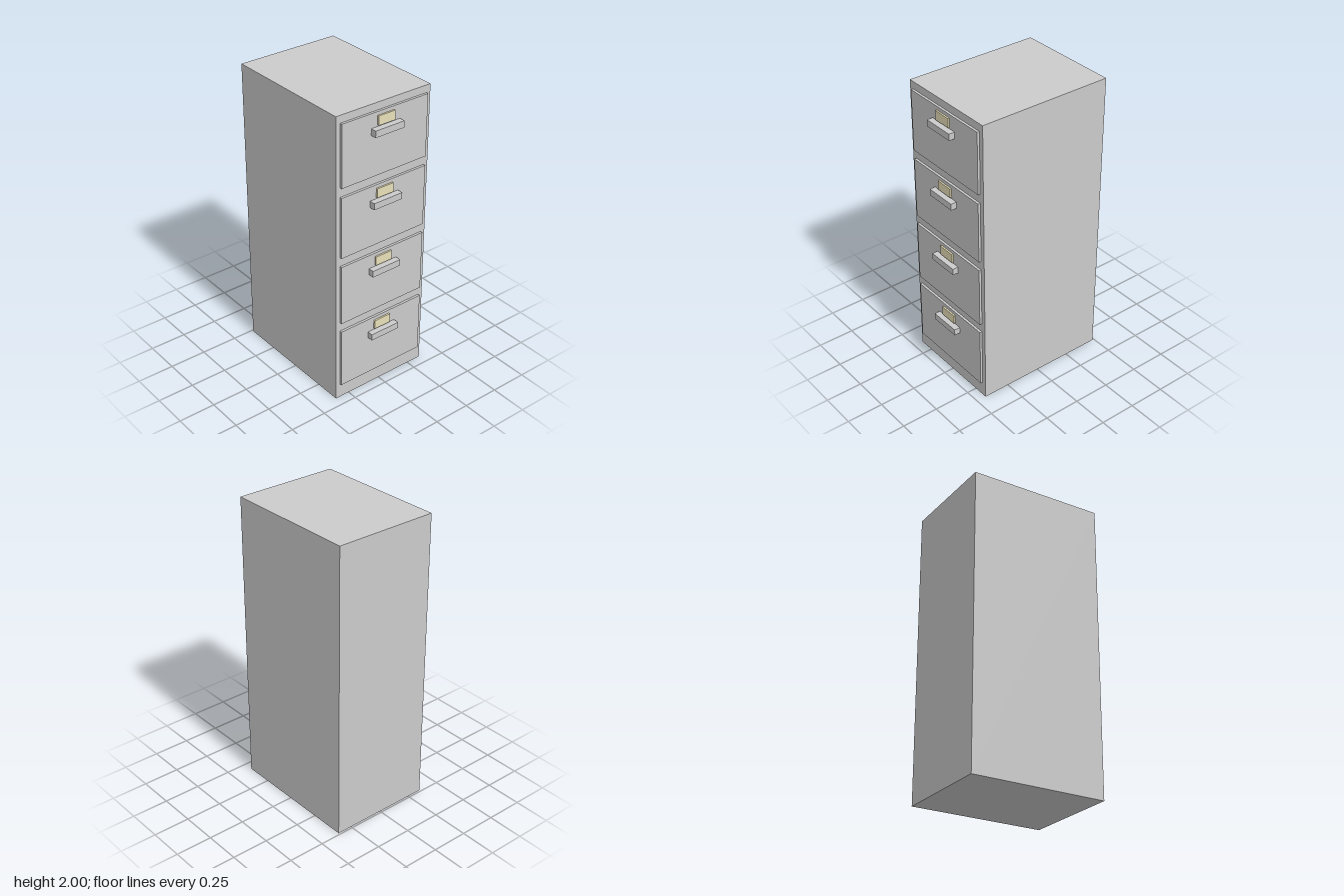
import * as THREE from 'three';

const grey = new THREE.MeshStandardMaterial({ color: 0xcccccc });
const cream = new THREE.MeshStandardMaterial({ color: 0xe8e0b8 });

// Box given by its width, its y range and its z range, centred on x = 0
function box(name, width, y0, y1, z0, z1, material = grey) {
  const mesh = new THREE.Mesh(new THREE.BoxGeometry(width, y1 - y0, z1 - z0), material);
  mesh.position.set(0, (y0 + y1) / 2, (z0 + z1) / 2);
  mesh.name = name;
  return mesh;
}

export function createModel() {
  const cabinet = new THREE.Group();
  cabinet.name = 'filingCabinet';

  const front = 0.432; // front of the body
  const face = 0.448; // front of the drawers
  cabinet.add(box('body', 0.706, 0, 2, -0.488, front));

  // Four equal drawers, each with a label plate above a bar handle
  for (let i = 0; i < 4; i++) {
    const drawer = new THREE.Group();
    drawer.name = `drawer${i + 1}`;
    drawer.position.y = 0.103 + i * 0.4775;
    drawer.add(
      box('drawerFront', 0.645, 0, 0.415, front, face),
      box('handle', 0.216, 0.276, 0.32, face, 0.488),
      box('labelPlate', 0.124, 0.329, 0.391, face, 0.459, cream),
    );
    cabinet.add(drawer);
  }
  return cabinet;
}
